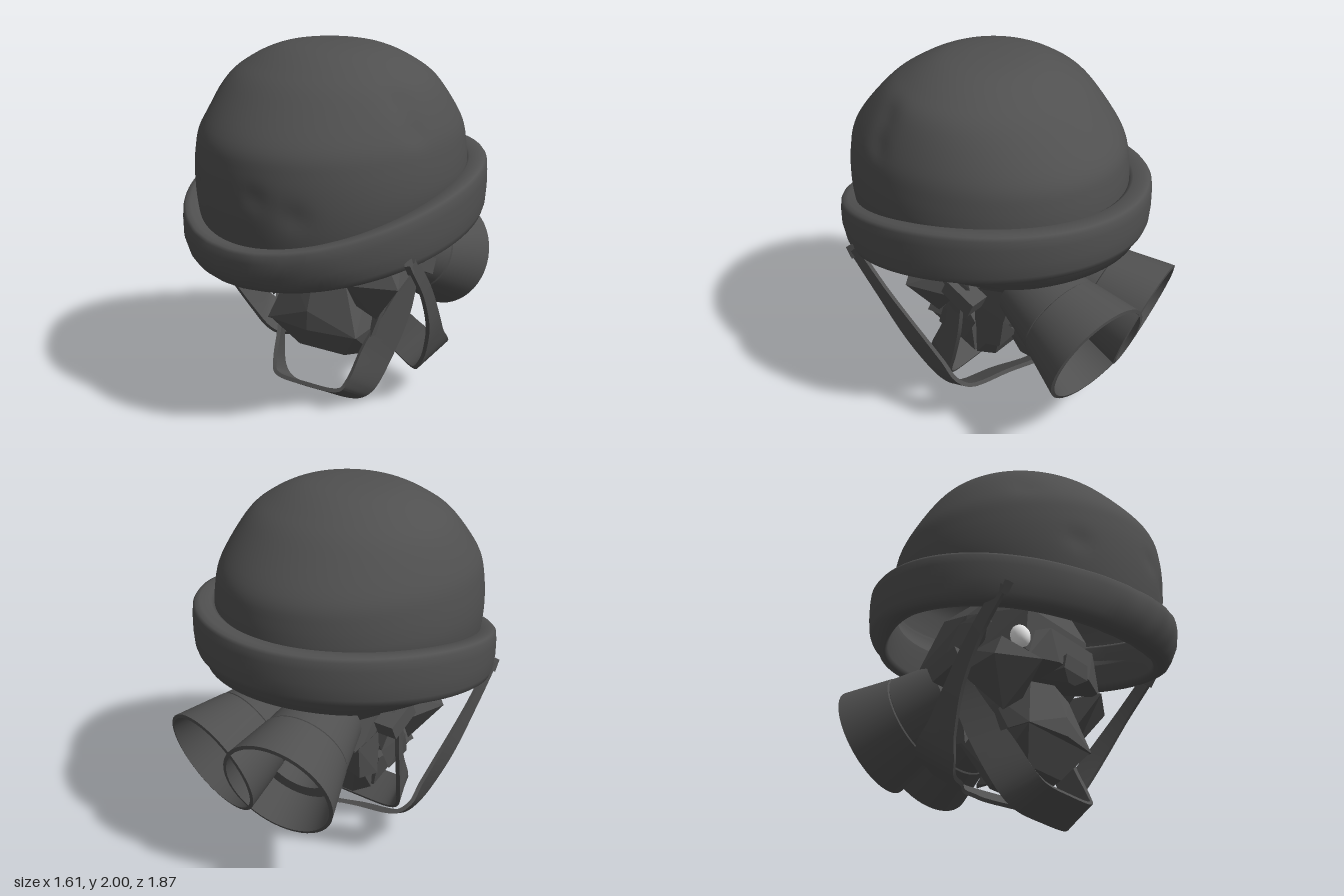
import * as THREE from 'three';
import { mergeVertices, toCreasedNormals } from 'three/addons/utils/BufferGeometryUtils.js';
import { ConvexGeometry } from 'three/addons/geometries/ConvexGeometry.js';

const V = (x, y, z) => new THREE.Vector3(x, y, z);

// Surface from a rule p(i, j); either direction may close on itself
function grid(ni, nj, p, closeI, closeJ) {
  const pos = [], idx = [];
  for (let i = 0; i < ni; i++) for (let j = 0; j < nj; j++) pos.push(...p(i, j).toArray());
  for (let i = 0; i < (closeI ? ni : ni - 1); i++) for (let j = 0; j < (closeJ ? nj : nj - 1); j++) {
    const i2 = (i + 1) % ni, j2 = (j + 1) % nj;
    const a = i * nj + j, b = i * nj + j2, c = i2 * nj + j2, d = i2 * nj + j;
    idx.push(a, b, d, b, c, d);
  }
  const g = new THREE.BufferGeometry();
  g.setAttribute('position', new THREE.Float32BufferAttribute(pos, 3));
  g.setIndex(idx);
  g.computeVertexNormals();
  return g;
}

// Height of the sloping rim band along z, with a slight sideways roll
const rimTop = (x, z) => 1.30 - 0.161 * z - 0.092 * z * z + 0.035 * x;
const rimBottom = (x, z) => 1.01 - 0.149 * z - 0.046 * z * z + 0.03 * x;

// Shallow dents: x, y, z, radius, depth
const dents = [
  [-0.5, 1.63, 0.45, 0.07, 0.012], [-0.42, 1.3, 0.72, 0.06, 0.012], [0.05, 1.33, 0.86, 0.06, 0.01],
  [0.25, 1.25, 0.82, 0.07, 0.012], [0.52, 1.75, 0.3, 0.08, 0.014], [0.6, 1.62, 0.3, 0.07, 0.014],
];

function domeGeometry() {
  const curve = new THREE.SplineCurve([[0.95, 1], [0.985, 1.15], [1, 1.3], [0.99, 1.45], [0.945, 1.6],
    [0.8, 1.8], [0.63, 1.9], [0.42, 1.968], [0.2, 1.995], [0, 2]].map(q => new THREE.Vector2(...q)));
  const pts = curve.getPoints(48);
  pts[48].x = 0;
  let g = new THREE.LatheGeometry(pts, 96);
  g.deleteAttribute('uv');
  g.deleteAttribute('normal');
  g = mergeVertices(g);
  const a = g.attributes.position;
  for (let i = 0; i < a.count; i++) {
    const y0 = a.getY(i), taper = 1 - 0.17 * THREE.MathUtils.smoothstep(y0, 1.5, 1.95);
    const p = V(a.getX(i) * 0.71, y0, a.getZ(i) * 0.785 * taper + 0.085);
    if (y0 < 1.36) { // lower edge follows the rim
      const mid = (rimTop(p.x, p.z) + rimBottom(p.x, p.z)) / 2;
      p.y = 1.36 - (1.36 - y0) / 0.36 * (1.36 - mid);
    }
    for (const [x, y, z, r, d] of dents) {
      const k = d * Math.exp(-p.distanceToSquared(V(x, y, z)) / (r * r));
      p.addScaledVector(V(p.x, (p.y - 1.3) * 0.8, p.z - 0.085).normalize(), -k);
    }
    a.setXYZ(i, p.x, p.y, p.z);
  }
  g.computeVertexNormals();
  return g;
}

function rimGeometry() {
  // radius factor and height fraction (0 top, 1 bottom) around the section
  const section = [[0.85, 0.1], [0.88, 0.02], [0.95, 0], [0.98, 0.02], [0.995, 0.08], [1, 0.25], [1, 0.55],
    [0.992, 0.82], [0.978, 0.94], [0.955, 0.985], [0.925, 1], [0.89, 0.99], [0.87, 0.9], [0.855, 0.5]];
  return grid(120, section.length, (i, j) => {
    const t = i / 120 * Math.PI * 2, s = Math.sin(t), c = Math.cos(t);
    const front = Math.max(0, c) ** 3;
    let [f, h] = section[j];
    f -= 0.07 * front * Math.max(0, h - 0.5) * 2;
    f += 0.004 * front * Math.sin(t * 23) * Math.sin(h * 5 + t * 9);
    const x = 0.805 * s, z = 0.05 + 0.88 * c;
    // inner lip hangs lower at the back
    const lip = j >= 10 && j <= 12 ? 0.06 * THREE.MathUtils.smoothstep(-c, 0.2, 0.8) : 0;
    const y = THREE.MathUtils.lerp(rimTop(x, z), rimBottom(x, z), h) - lip;
    return V(x * f, y, 0.05 + 0.88 * c * f);
  }, true, true);
}

// Flat strap mirrored over x. Each point: centre, then half-width vector
function strapGeometry(half, thick) {
  const all = [...half, ...half.slice(0, -1).reverse().map(([x, y, z, a, b, c]) => [-x, y, z, -a, b, c])];
  const path = new THREE.CatmullRomCurve3(all.map(q => V(q[0], q[1], q[2])));
  const width = new THREE.CatmullRomCurve3(all.map(q => V(q[3], q[4], q[5])));
  const n = 96;
  const g = grid(n + 1, 4, (i, j) => {
    const t = i / n, c = path.getPoint(t), w = width.getPoint(t);
    const nor = path.getTangent(t).cross(w).normalize().multiplyScalar(thick / 2);
    return c.addScaledVector(w, j < 2 ? 1 : -1).addScaledVector(nor, j % 3 ? 1 : -1);
  }, false, true);
  return toCreasedNormals(g, 0.6);
}

export function createModel() {
  const root = new THREE.Group();
  root.name = 'helmetedMachineHead';
  const metal = new THREE.MeshStandardMaterial({ color: 0x505050, side: THREE.DoubleSide });
  metal.name = 'dark grey metal';
  const pale = new THREE.MeshStandardMaterial({ color: 0xe8e8e8, side: THREE.DoubleSide });
  pale.name = 'pale lens';
  const add = (name, geo, mat = metal) => {
    const m = new THREE.Mesh(geo, mat);
    m.name = name;
    root.add(m);
    return m;
  };
  const hull = (name, pts) => add(name, new ConvexGeometry(pts.map(p => V(...p))));
  const both = pts => [...pts, ...pts.map(([x, y, z]) => [-x, y, z])];

  // Helmet
  add('helmetDome', domeGeometry());
  add('helmetRim', rimGeometry());

  // Straps
  add('napeStrap', strapGeometry([
    [0.705, 1.0, 0.45, 0, 0.025, -0.025], [0.69, 0.8, 0.28, 0, 0.03, -0.03],
    [0.65, 0.58, 0.12, 0, 0.04, -0.045], [0.59, 0.38, -0.01, 0.02, 0.055, -0.065],
    [0.555, 0.285, -0.075, 0.045, 0.06, -0.085], [0.5, 0.24, -0.125, 0.045, 0.06, -0.09],
    [0.3, 0.265, -0.23, 0.035, 0.06, -0.09], [0.11, 0.295, -0.345, 0.02, 0.06, -0.085],
    [0, 0.3, -0.355, 0, 0.06, -0.085],
  ], 0.022));
  add('chinStrap', strapGeometry([
    [0.45, 0.8, -0.06, 0, 0.02, 0.03], [0.395, 0.55, 0.02, -0.03, 0.04, 0.06],
    [0.325, 0.32, 0.13, -0.045, 0.048, 0.08], [0.27, 0.13, 0.23, -0.03, 0.052, 0.088],
    [0.22, 0.08, 0.258, -0.01, 0.054, 0.09], [0, 0.065, 0.265, 0, 0.054, 0.09],
  ], 0.022));

  // Faceted head
  hull('skull', both([[0.26, 1.3, 0.2], [0.28, 1.1, 0.3], [0.28, 0.86, 0.28], [0.38, 0.8, -0.1], [0.3, 0.92, -0.43],
    [0.25, 1.2, -0.3], [0.27, 0.72, 0.15], [0.25, 0.76, -0.25], [0.36, 1.12, -0.05]]));
  hull('brow', both([[0.2, 0.98, 0.39], [0.26, 0.96, 0.33], [0.14, 0.8, 0.4], [0.34, 0.78, 0.34], [0.1, 0.76, 0.15]]));
  hull('noseBridge', both([[0.1, 0.86, 0.42], [0.11, 0.78, 0.41], [0.03, 0.73, 0.38], [0.1, 0.78, 0.2]]));
  hull('muzzle', [...both([[0.18, 0.72, 0.24], [0.29, 0.44, 0.31], [0.28, 0.44, 0.08], [0.2, 0.7, 0]]),
    [0, 0.75, 0.27], [0, 0.55, 0.345], [0, 0.44, 0.35]]);
  hull('chin', both([[0.28, 0.44, 0.3], [0.15, 0.27, 0.2], [0.22, 0.24, 0.02], [0.27, 0.44, 0]]));
  hull('jawAndNeck', both([[0.24, 0.66, 0.1], [0.2, 0.22, 0.02], [0.13, 0.2, -0.06], [0.28, 0.52, -0.22],
    [0.27, 0.84, -0.3], [0.24, 0.85, 0.12], [0.2, 0.42, -0.15]]));

  for (const s of [-1, 1]) {
    const side = s > 0 ? 'left' : 'right';
    const flip = pts => pts.map(([x, y, z]) => [x * s, y, z]);
    hull(side + 'Cheek', flip([[0.52, 0.75, 0.26], [0.46, 0.87, 0.26], [0.28, 0.77, 0.39], [0.34, 0.52, 0.18],
      [0.42, 0.86, 0.05], [0.25, 0.6, 0.24], [0.44, 0.74, -0.02]]));
    hull(side + 'JawPlate', flip([[0.36, 0.72, 0.02], [0.36, 0.56, -0.1], [0.34, 0.4, 0.0], [0.32, 0.42, 0.2],
      [0.35, 0.56, 0.14], [0.24, 0.6, 0], [0.25, 0.45, 0.1]]));
    hull(side + 'NeckPlate', flip([[0.34, 0.68, -0.1], [0.34, 0.64, -0.28], [0.31, 0.43, -0.23], [0.32, 0.4, -0.08],
      [0.22, 0.5, -0.1], [0.22, 0.5, -0.28]]));
    hull(side + 'NapePlate', flip([[0.24, 0.53, -0.33], [0.22, 0.37, -0.42], [0.24, 0.52, -0.22], [0.21, 0.37, -0.3],
      [0.2, 0.53, -0.3], [0.19, 0.38, -0.4]]));
    hull(side + 'TemplePlate', flip([[0.44, 1.06, 0.12], [0.46, 0.98, 0.17], [0.46, 0.78, 0.0], [0.45, 0.84, -0.14],
      [0.43, 1.04, -0.04], [0.33, 0.95, 0.05], [0.33, 1.05, 0.1]]));

    const ear = add(side + 'EarBlock', new THREE.BoxGeometry(0.12, 0.09, 0.2));
    ear.position.set(s * 0.44, 0.79, -0.09);
    ear.rotation.x = -0.45;
    const buckle = add(side + 'StrapAnchor', new THREE.BoxGeometry(0.03, 0.07, 0.08));
    buckle.position.set(s * 0.695, 0.99, 0.45);
    buckle.rotation.set(0.6, s * 0.3, 0);

    // Eye lens, recessed behind the cheek
    const eye = add(side + 'EyeLens', new THREE.SphereGeometry(1, 20, 14), pale);
    eye.scale.set(0.045, 0.07, 0.055);
    eye.position.set(s * 0.29, 0.935, 0.255);
    eye.rotation.x = -0.5;

    // Rear pipe with flared open mouth and stepped bore
    const profile = [[0, 0], [0.205, 0], [0.25, 0.266], [0.246, 0.27], [0.255, 0.276], [0.32, 0.56], [0.3, 0.565],
      [0.255, 0.36], [0.2, 0.35], [0.19, 0.2], [0, 0.18]].map(q => new THREE.Vector2(...q));
    const pipe = add(side + 'RearPipe', toCreasedNormals(new THREE.LatheGeometry(profile, 48), 0.6));
    const start = V(s * 0.14, 0.79, -0.3), end = V(s * 0.23, 0.6, -0.815);
    pipe.position.copy(start);
    pipe.quaternion.setFromUnitVectors(V(0, 1, 0), end.sub(start).normalize());
  }
  return root;
}
